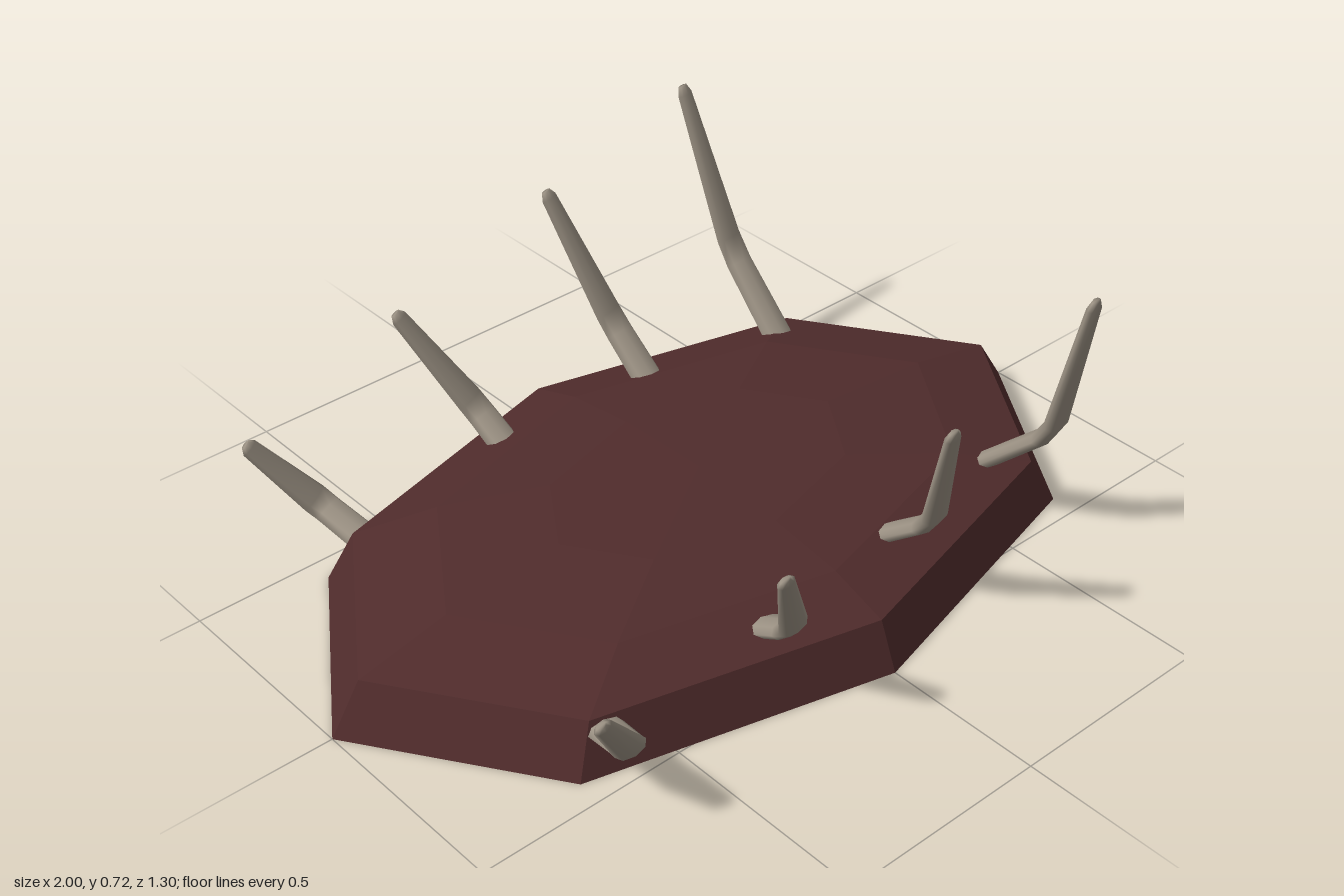
import * as THREE from 'three';

const shellMat = new THREE.MeshStandardMaterial({ name: 'dark red shell', color: 0x502c2c, flatShading: true, side: THREE.DoubleSide });
const boneMat = new THREE.MeshStandardMaterial({ name: 'grey bone', color: 0x9c9284 });

// Tapered limb: elliptical rings along a path of [x, y, z, halfWidth, halfThickness], closed at both ends.
function limbGeometry(path, sides = 8) {
  const pts = path.map(p => new THREE.Vector3(p[0], p[1], p[2]));
  const pos = [], index = [];
  pts.forEach((p, i) => {
    const tangent = new THREE.Vector3();
    if (i > 0) tangent.add(p.clone().sub(pts[i - 1]).normalize());
    if (i < pts.length - 1) tangent.add(pts[i + 1].clone().sub(p).normalize());
    tangent.normalize();
    const side = new THREE.Vector3(1, 0, 0).addScaledVector(tangent, -tangent.x).normalize();
    const normal = tangent.clone().cross(side);
    for (let k = 0; k < sides; k++) {
      const a = (k / sides) * Math.PI * 2;
      const v = p.clone()
        .addScaledVector(side, Math.cos(a) * path[i][3])
        .addScaledVector(normal, Math.sin(a) * path[i][4]);
      pos.push(v.x, v.y, v.z);
    }
  });
  for (let i = 0; i < pts.length - 1; i++) {
    for (let k = 0; k < sides; k++) {
      const a = i * sides + k, b = i * sides + (k + 1) % sides;
      index.push(a, b, b + sides, a, b + sides, a + sides);
    }
  }
  const last = (pts.length - 1) * sides;
  for (let k = 1; k < sides - 1; k++) {
    index.push(0, k + 1, k, last, last + k, last + k + 1);
  }
  const g = new THREE.BufferGeometry();
  g.setAttribute('position', new THREE.Float32BufferAttribute(pos, 3));
  g.setIndex(index);
  g.computeVertexNormals();
  return g;
}

// Ribs from tallest to shortest: x at the spine, then bend, elbow and tip points.
const ribs = [
  { root: 0.51, bend: [0.565, 0.05, 0.26], elbow: [0.575, 0.295, 0.52], tip: [0.52, 0.715, 0.64] },
  { root: 0.18, bend: [0.195, 0.05, 0.28], elbow: [0.195, 0.245, 0.525], tip: [0.102, 0.585, 0.645] },
  { root: -0.19, bend: [-0.20, 0.05, 0.30], elbow: [-0.215, 0.185, 0.53], tip: [-0.345, 0.445, 0.635] },
  { root: -0.58, bend: [-0.60, 0.05, 0.30], elbow: [-0.65, 0.125, 0.535], tip: [-0.78, 0.31, 0.60] },
];

function rib({ root, bend, elbow, tip }, s) {
  const at = (a, b, t) => a.map((v, i) => v + (b[i] - v) * t);
  const row = (p, w, h) => [p[0], p[1], p[2] * s, w, h];
  const g = limbGeometry([
    row([root, 0.045, 0], 0.042, 0.022),
    row(at([root, 0.045, 0], bend, 0.8), 0.043, 0.022),
    row(at(bend, elbow, 0.1), 0.043, 0.022),
    row(at(bend, elbow, 0.9), 0.038, 0.02),
    row(at(elbow, tip, 0.08), 0.036, 0.019),
    row(at(elbow, tip, 0.95), 0.021, 0.012),
    row(tip, 0.012, 0.007),
  ]);
  return new THREE.Mesh(g, boneMat);
}

export function createModel() {
  const model = new THREE.Group();
  model.name = 'ribbedMound';

  // Open eight-sided shell: sloped rim and shallow dome
  const profile = [[1, 0], [0.925, 0.115], [0.7, 0.163], [0.4, 0.19], [0, 0.2]]
    .map(([r, y]) => new THREE.Vector2(r, y));
  const shell = new THREE.Mesh(new THREE.LatheGeometry(profile, 8).scale(1, 1, 0.62), shellMat);
  shell.name = 'shell';
  model.add(shell);

  // Spine lying under the shell
  const spineGeo = new THREE.CylinderGeometry(0.045, 0.036, 1.56, 8);
  spineGeo.rotateZ(-Math.PI / 2).scale(1, 0.85, 1).translate(0.13, 0.042, 0);
  const spine = new THREE.Mesh(spineGeo, boneMat);
  spine.name = 'spine';
  model.add(spine);

  // Mirrored pairs of ribs
  ribs.forEach((r, i) => {
    for (const s of [1, -1]) {
      const m = rib(r, s);
      m.name = `${s > 0 ? 'front' : 'back'}Rib${i + 1}`;
      model.add(m);
    }
  });
  return model;
}
